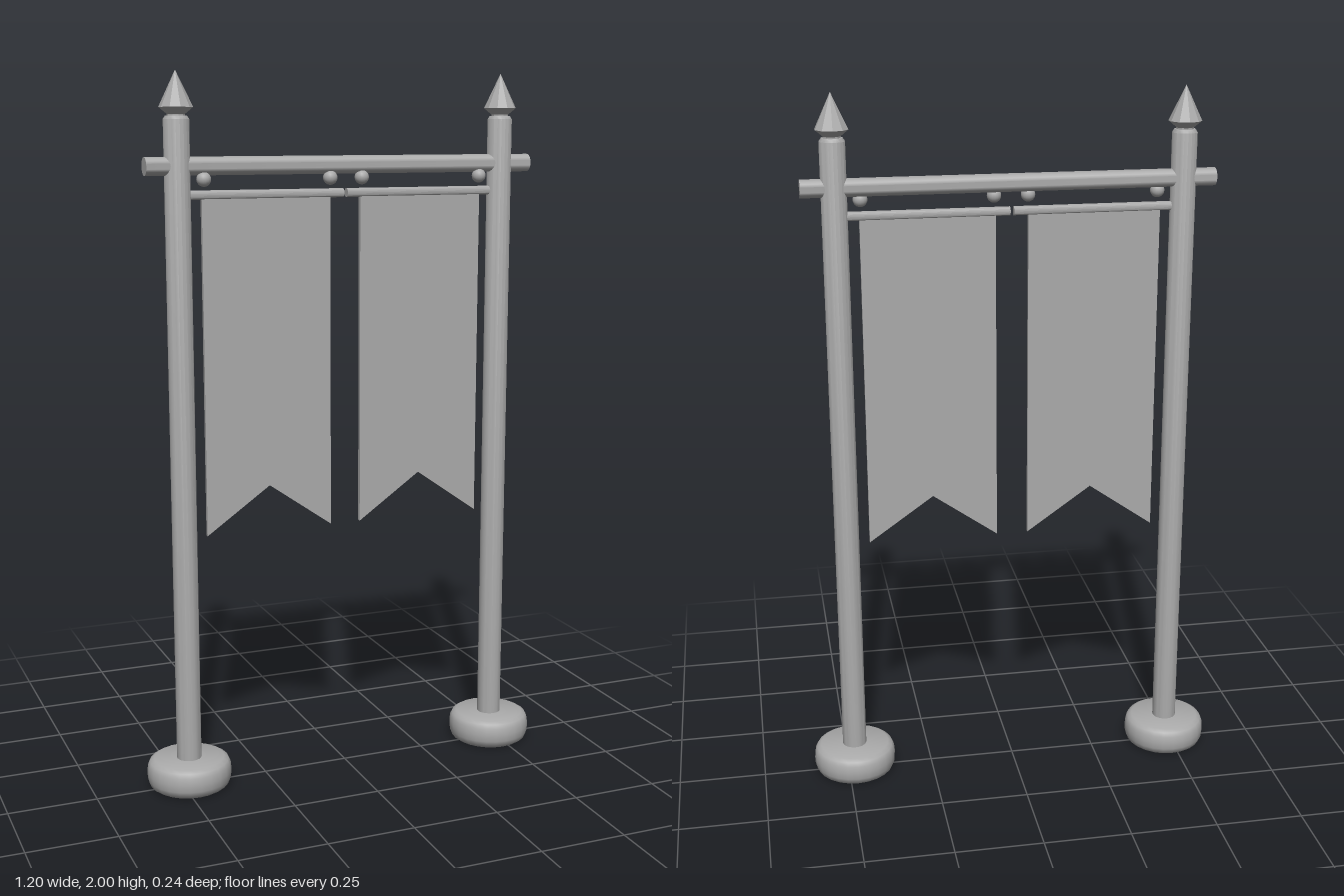
import * as THREE from 'three';
import { toCreasedNormals } from 'three/addons/utils/BufferGeometryUtils.js';

export function createModel() {
  const model = new THREE.Group();
  model.name = 'doubleBannerStand';
  const grey = new THREE.MeshStandardMaterial({ color: 0xaaaaaa });
  grey.name = 'plain grey';

  const add = (name, geometry, x, y, z = 0) => {
    const mesh = new THREE.Mesh(geometry, grey);
    mesh.name = name;
    mesh.position.set(x, y, z);
    model.add(mesh);
    return mesh;
  };
  const lathe = (points, sides, crease) => toCreasedNormals(
    new THREE.LatheGeometry(points.map(([r, y]) => new THREE.Vector2(r, y)), sides), crease);
  const rod = (radius, length) =>
    toCreasedNormals(new THREE.CylinderGeometry(radius, radius, length, 20).rotateZ(Math.PI / 2), 0.7);

  // Rounded feet, posts with a softened top, faceted finials
  const foot = lathe([[0, 0], [0.1, 0], [0.112, 0.008], [0.119, 0.025], [0.12, 0.045],
    [0.118, 0.065], [0.112, 0.077], [0.1, 0.084], [0, 0.084]], 24, 0.7);
  const post = lathe([[0, 0.04], [0.035, 0.04], [0.035, 1.873], [0.029, 1.882], [0, 1.882]], 20, 0.6);
  const finial = lathe([[0, 1.878], [0.024, 1.878], [0.024, 1.886], [0.046, 1.904], [0, 2]], 10, 0.1);

  // Swallow-tailed cloth, hanging from its rod
  const outline = new THREE.Shape([[-0.185, 0], [-0.185, -0.94], [0, -0.81], [0.185, -0.94], [0.185, 0]]
    .map(([x, y]) => new THREE.Vector2(x, y)));
  const cloth = new THREE.ExtrudeGeometry(outline, { depth: 0.012, bevelEnabled: false }).translate(0, 0, -0.006);

  const hangingRod = rod(0.0125, 0.45);
  const ball = new THREE.SphereGeometry(0.02, 16, 12);

  for (const [side, s] of [['left', 1], ['right', -1]]) {
    add(side + 'Foot', foot, s * 0.48, 0);
    add(side + 'Post', post, s * 0.48, 0);
    add(side + 'Finial', finial, s * 0.48, 0);
    add(side + 'HangingRod', hangingRod, s * 0.23, 1.673);
    add(side + 'Banner', cloth, s * 0.23, 1.67);
    add(side + 'InnerHanger', ball, s * 0.047, 1.715, 0.011);
    add(side + 'OuterHanger', ball, s * 0.41, 1.715, 0.011);
  }

  // Crossbar through both posts
  add('crossbar', rod(0.025, 1.14), 0, 1.75);
  return model;
}
